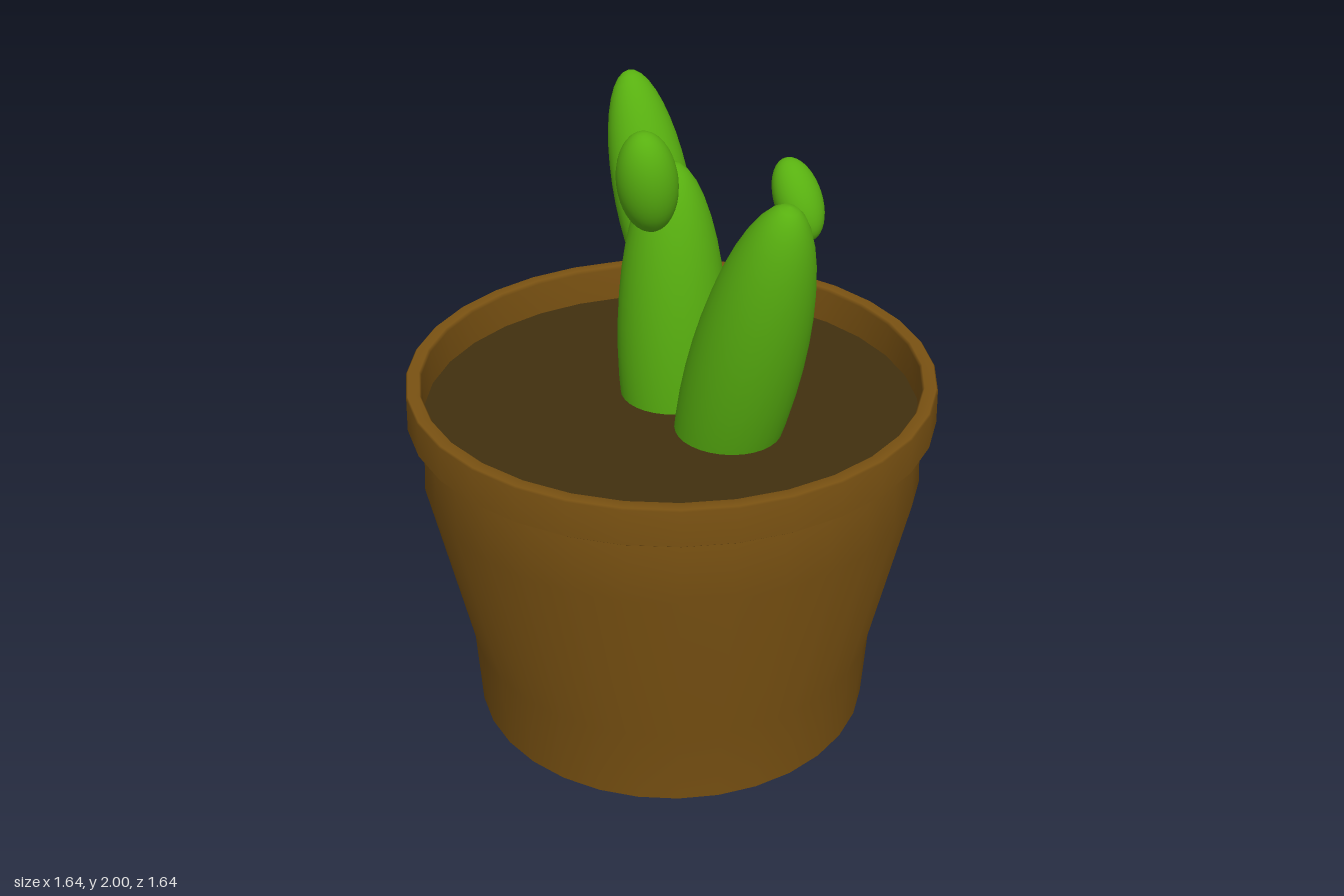
import * as THREE from 'three';

const SIDES = 32;
const SOIL_Y = 1.05;

function addMesh(parent, name, geometry, material) {
  const mesh = new THREE.Mesh(geometry, material);
  mesh.name = name;
  parent.add(mesh);
  return mesh;
}

export function createModel() {
  const model = new THREE.Group();
  model.name = 'pottedCactus';

  const clay = new THREE.MeshStandardMaterial({ color: 0x7a5212 });
  const earth = new THREE.MeshStandardMaterial({ color: 0x41300f });
  const green = new THREE.MeshStandardMaterial({ color: 0x58b010 });

  // Pot: base, tapered wall, overhanging rim and inner lip in one smooth profile
  const profile = [
    [0, 0], [0.625, 0], [0.64, 0.004], [0.655, 0.26], [0.78, 0.84], [0.77, 1.04],
    [0.772, 1.05], [0.81, 1.05], [0.818, 1.056], [0.815, 1.165], [0.81, 1.17],
    [0.775, 1.17], [0.768, 1.16], [0.768, SOIL_Y - 0.01],
  ].map(([r, y]) => new THREE.Vector2(r, y));
  addMesh(model, 'pot', new THREE.LatheGeometry(profile, SIDES), clay);

  // Soil disc just below the rim
  const soil = addMesh(model, 'soil', new THREE.CircleGeometry(0.77, SIDES), earth);
  soil.rotation.x = -Math.PI / 2;
  soil.position.y = SOIL_Y;

  // Cactus: stretched, tilted spheres; tilts are in degrees about x and z
  const cactus = new THREE.Group();
  cactus.name = 'cactus';
  model.add(cactus);
  const pads = [
    { name: 'middleStem', at: [-0.07, 1.2, -0.055], size: [0.17, 0.61, 0.172], tilt: [0, 1] },
    { name: 'leftStem', at: [0.283, 1.24, -0.05], size: [0.17, 0.65, 0.17], tilt: [0, -18] },
    { name: 'rightArm', at: [-0.25, 1.63, -0.11], size: [0.112, 0.39, 0.122], tilt: [0, 19] },
    { name: 'frontBud', at: [-0.008, 1.8, 0.08], size: [0.092, 0.16, 0.09], tilt: [9, -4] },
    { name: 'leftBud', at: [0.345, 1.8, -0.193], size: [0.065, 0.123, 0.07], tilt: [0, 32] },
    { name: 'backBud', at: [0.12, 1.23, -0.21], size: [0.128, 0.202, 0.118], tilt: [-9, -3] },
  ];
  const ball = new THREE.SphereGeometry(1, 32, 20);
  for (const { name, at, size, tilt } of pads) {
    const pad = addMesh(cactus, name, ball, green);
    pad.position.set(...at);
    pad.scale.set(...size);
    pad.rotation.set(THREE.MathUtils.degToRad(tilt[0]), 0, THREE.MathUtils.degToRad(tilt[1]));
  }

  return model;
}
